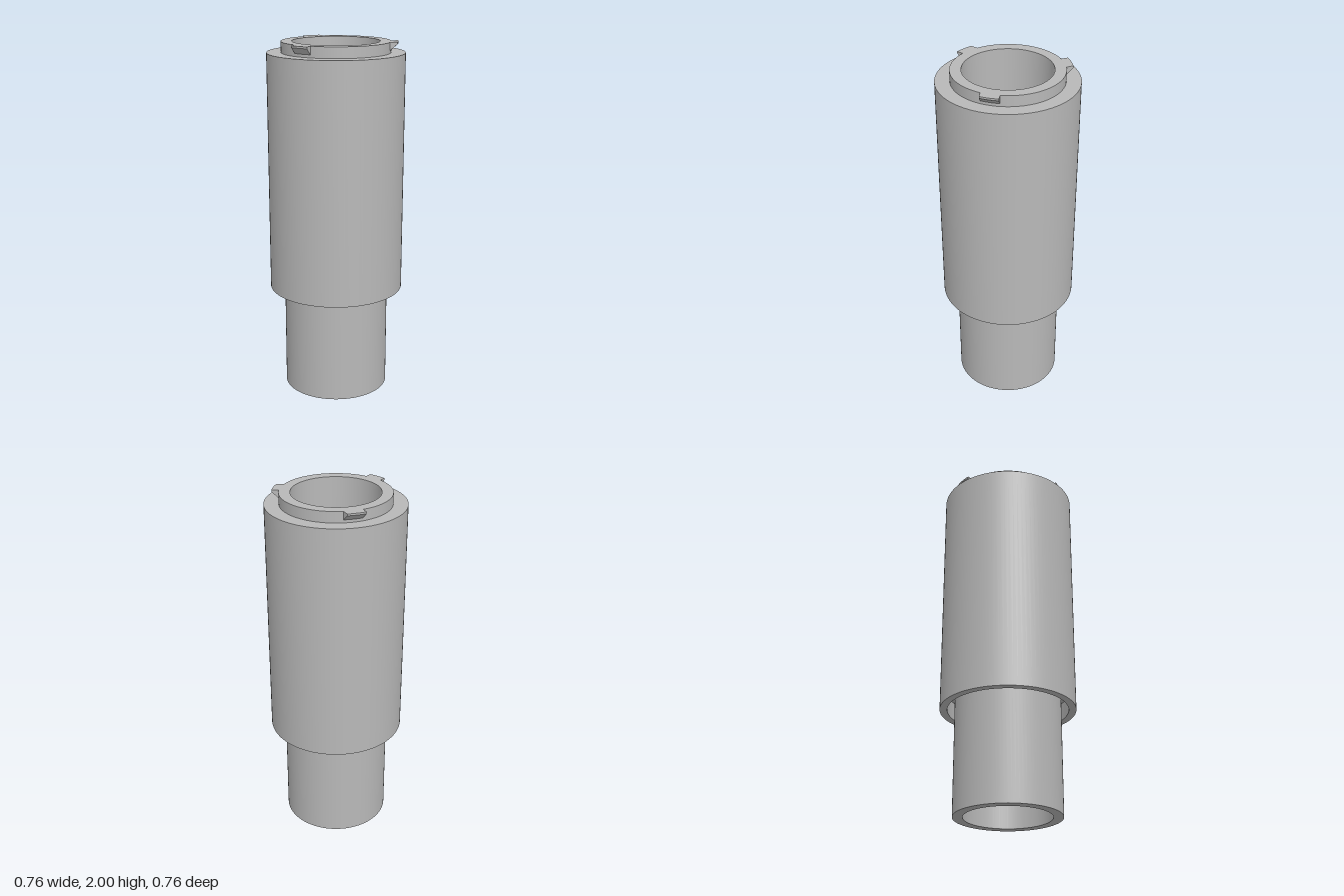
import * as THREE from 'three';
import { mergeGeometries } from 'three/addons/utils/BufferGeometryUtils.js';

// Turned part: every straight run of the profile is its own lathe, so edges stay sharp
function turned(profile) {
  const runs = [];
  for (let i = 0; i < profile.length - 1; i++) {
    const pair = [profile[i], profile[i + 1]].map(([r, y]) => new THREE.Vector2(r, y));
    runs.push(new THREE.LatheGeometry(pair, 96));
  }
  return mergeGeometries(runs);
}

// Bayonet lug: wedge section swept along the collar, with parallel sides
function lugGeometry() {
  const steps = 6, x0 = -0.1, x1 = 0;
  const section = [[0.299, 1.955], [0.338, 1.99], [0.338, 2], [0.299, 2]];
  const columns = [];
  for (let i = 0; i <= steps; i++) {
    const x = x0 + (x1 - x0) * i / steps;
    columns.push(section.map(([r, y]) => [x, y, Math.sqrt(r * r - x * x)]));
  }
  const pos = [];
  const quad = (a, b, c, d) => pos.push(...a, ...b, ...c, ...a, ...c, ...d);
  for (let i = 0; i < steps; i++) {
    const p = columns[i], q = columns[i + 1];
    for (let k = 0; k < 3; k++) quad(p[k], q[k], q[k + 1], p[k + 1]);
  }
  const first = columns[0], last = columns[steps];
  quad(first[0], first[1], first[2], first[3]);
  quad(last[1], last[0], last[3], last[2]);
  const geo = new THREE.BufferGeometry();
  geo.setAttribute('position', new THREE.Float32BufferAttribute(pos, 3));
  geo.computeVertexNormals();
  return geo;
}

export function createModel() {
  const model = new THREE.Group();
  model.name = 'bayonetTube';
  const grey = new THREE.MeshStandardMaterial({ color: 0xb8b8b8 });
  grey.name = 'grey';

  const add = (name, geometry) => {
    const mesh = new THREE.Mesh(geometry, grey);
    mesh.name = name;
    model.add(mesh);
    return mesh;
  };

  // Inner pipe with through bore
  add('innerPipe', turned([[0.24, 2], [0.24, 0], [0.296, 0], [0.296, 0.7]]));

  // Outer sleeve, with an open ring-shaped socket underneath
  add('outerSleeve', turned([[0.296, 0.7], [0.337, 0.7], [0.337, 0.6], [0.379, 0.6], [0.379, 1.94], [0.3, 1.94]]));

  // Raised collar at the top
  add('topCollar', turned([[0.3, 1.94], [0.3, 2], [0.24, 2]]));

  // Three lugs around the collar
  const lug = lugGeometry();
  for (let i = 0; i < 3; i++) {
    add('lug' + (i + 1), lug).rotation.y = i * Math.PI * 2 / 3;
  }
  return model;
}
